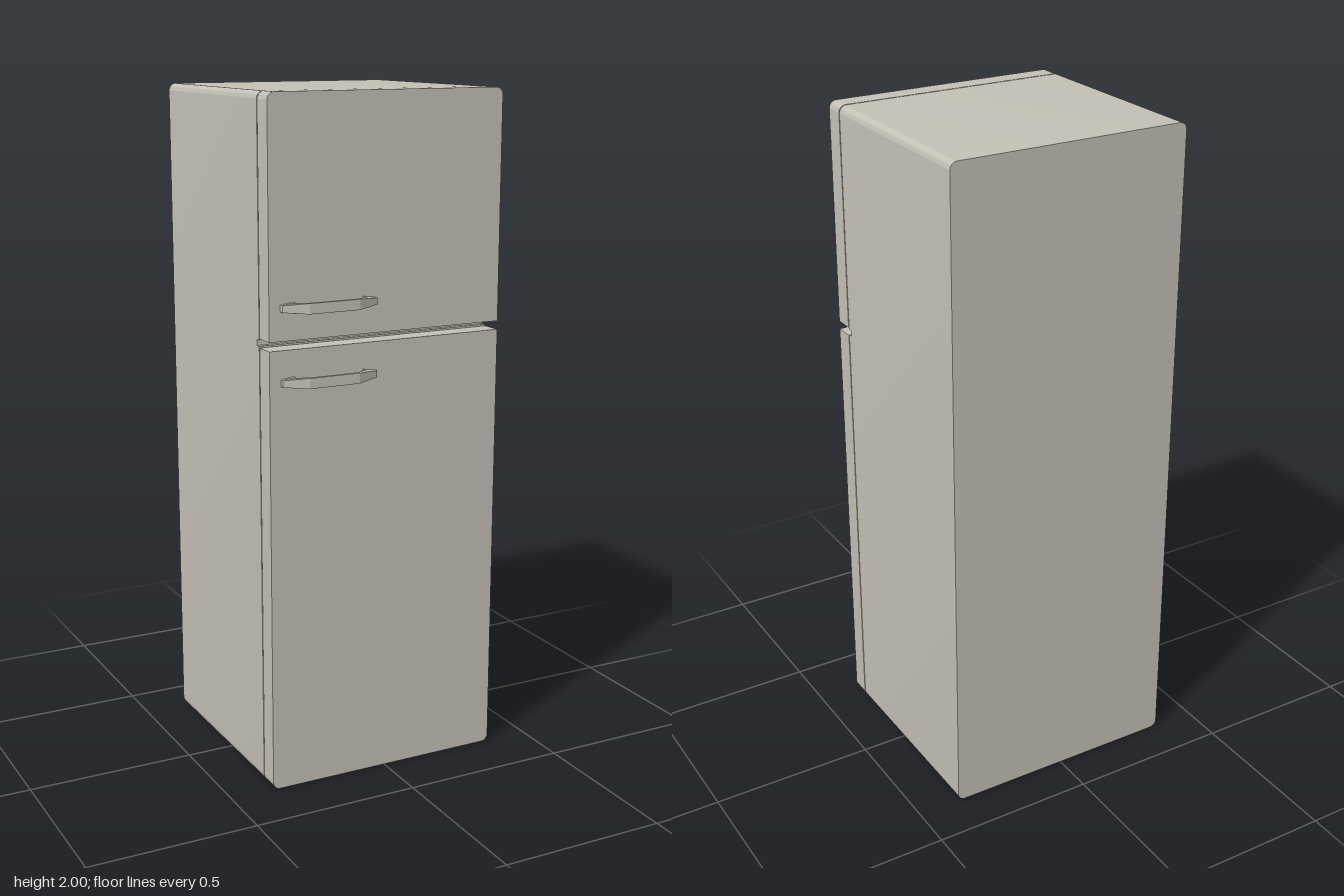
import * as THREE from 'three';
import { toCreasedNormals } from 'three/addons/utils/BufferGeometryUtils.js';

const W = 0.368; // half width
const R = 0.022; // outer corner radius
const GAP_LOW = 1.304, GAP_HIGH = 1.329;

// Upright slab from z0 to z1, with optional rounded bottom and top corners
function slab(name, material, w, y0, y1, z0, z1, rBottom, rTop) {
  const s = new THREE.Shape();
  s.moveTo(-w + rBottom, y0);
  s.lineTo(w - rBottom, y0);
  if (rBottom) s.absarc(w - rBottom, y0 + rBottom, rBottom, -Math.PI / 2, 0);
  s.lineTo(w, y1 - rTop);
  if (rTop) s.absarc(w - rTop, y1 - rTop, rTop, 0, Math.PI / 2);
  s.lineTo(-w + rTop, y1);
  if (rTop) s.absarc(-w + rTop, y1 - rTop, rTop, Math.PI / 2, Math.PI);
  s.lineTo(-w, y0 + rBottom);
  if (rBottom) s.absarc(-w + rBottom, y0 + rBottom, rBottom, Math.PI, Math.PI * 1.5);
  const g = new THREE.ExtrudeGeometry(s, { depth: z1 - z0, bevelEnabled: false, curveSegments: 6 });
  g.translate(0, 0, z0);
  const mesh = new THREE.Mesh(toCreasedNormals(g, 0.7), material);
  mesh.name = name;
  return mesh;
}

// Bent bar handle: plan outline extruded upward, slimmer towards its ends
function handle(name, material, y) {
  const outline = [
    [-0.147, 0.325], [-0.147, 0.339], [-0.078, 0.368], [0.078, 0.368], [0.147, 0.339], [0.147, 0.325],
    [0.108, 0.325], [0.108, 0.342], [0.078, 0.357], [-0.078, 0.357], [-0.108, 0.342], [-0.108, 0.325],
  ];
  const shape = new THREE.Shape(outline.map(([x, z]) => new THREE.Vector2(x, -z)));
  const h = 0.03;
  const g = new THREE.ExtrudeGeometry(shape, { depth: h, bevelEnabled: false });
  g.translate(0, 0, -h / 2);
  g.rotateX(-Math.PI / 2);
  const p = g.attributes.position;
  for (let i = 0; i < p.count; i++) {
    const end = THREE.MathUtils.smoothstep(Math.abs(p.getX(i)), 0.108, 0.147);
    p.setY(i, p.getY(i) * (1 - 0.35 * end));
  }
  g.computeVertexNormals();
  const mesh = new THREE.Mesh(g, material);
  mesh.name = name;
  mesh.position.set(-0.187, y, 0);
  return mesh;
}

export function createModel() {
  const enamel = new THREE.MeshStandardMaterial({ color: 0xc4c0b6 });
  enamel.name = 'warm grey enamel';

  const model = new THREE.Group();
  model.name = 'refrigerator';

  // Cabinet, with a shallow groove across its front between the doors
  model.add(
    slab('cabinet', enamel, W, 0, 2, -0.37, 0.245, R, R),
    slab('lowerCabinetRim', enamel, W, 0, 1.308, 0.245, 0.26, R, 0),
    slab('upperCabinetRim', enamel, W, 1.325, 2, 0.245, 0.26, 0, R),
  );

  // Door, recessed seal and handle for each compartment
  const compartments = [
    ['lower', 0, GAP_LOW, R, 0, 1.213],
    ['upper', GAP_HIGH, 2, 0, R, 1.421],
  ];
  for (const [label, y0, y1, rBottom, rTop, handleY] of compartments) {
    model.add(
      slab(label + 'Door', enamel, W, y0, y1, 0.264, 0.326, rBottom, rTop),
      slab(label + 'DoorSeal', enamel, 0.313, y0 + 0.03, y1 - 0.03, 0.258, 0.266, 0, 0),
      handle(label + 'Handle', enamel, handleY),
    );
  }
  return model;
}
